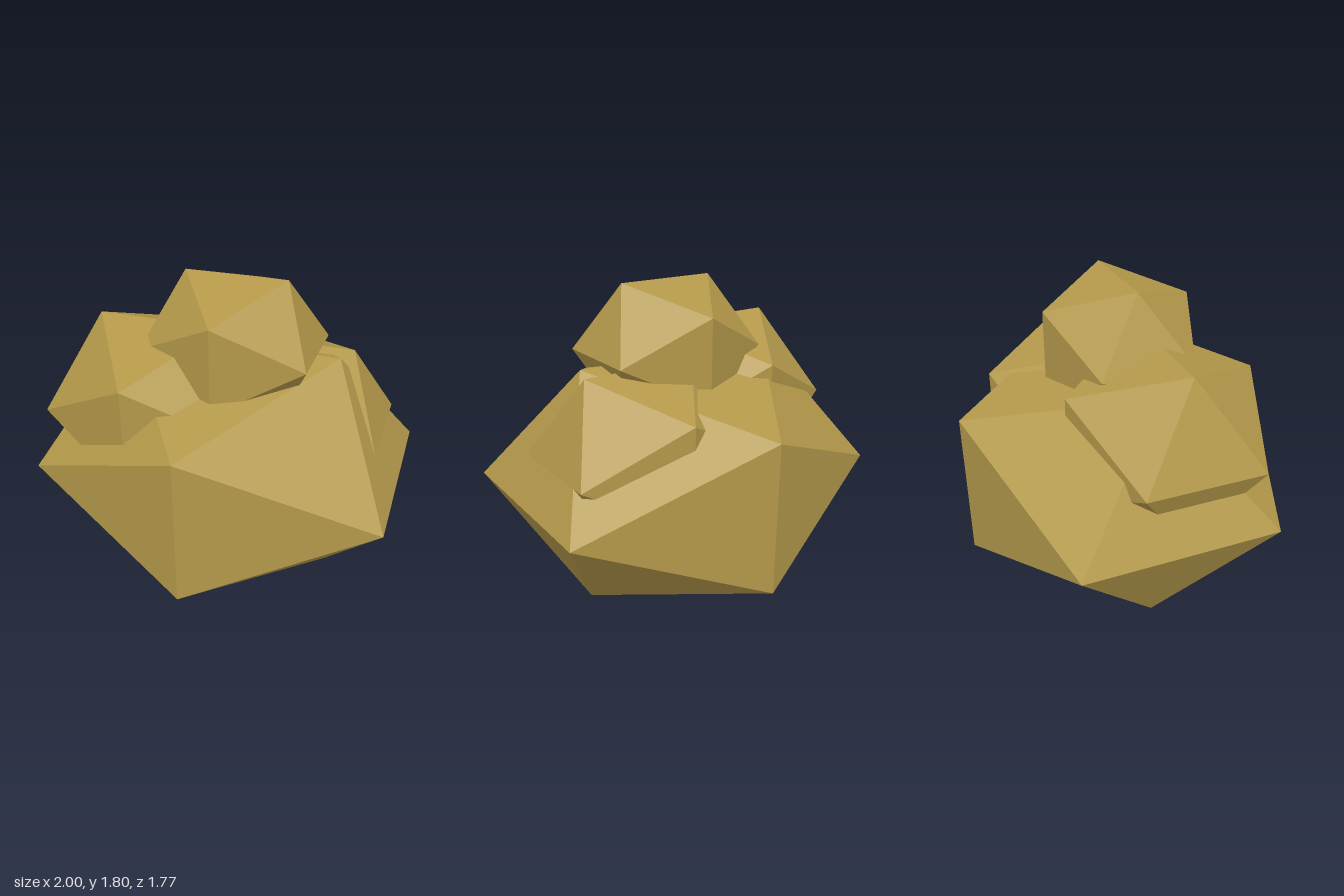
import * as THREE from 'three';

// Pile of faceted boulders: each is a stretched icosahedron
const boulders = [
  { name: 'baseBoulder', at: [0, 0.693, 0], radii: [1.175, 0.814, 1.039] },
  { name: 'topBoulder', at: [0.043, 1.415, 0.044], radii: [0.541, 0.452, 0.497] },
  { name: 'rightBoulder', at: [-0.365, 1.035, 0.135], radii: [0.676, 0.582, 0.629] },
  { name: 'leftBoulder', at: [0.335, 0.92, -0.14], radii: [0.635, 0.541, 0.582] },
];

export function createModel() {
  const model = new THREE.Group();
  model.name = 'boulderPile';

  const ochre = new THREE.MeshStandardMaterial({ color: 0xb3984a, flatShading: true });
  ochre.name = 'ochre stone';

  for (const { name, at, radii } of boulders) {
    const geometry = new THREE.IcosahedronGeometry(1, 0);
    geometry.scale(...radii);
    const mesh = new THREE.Mesh(geometry, ochre);
    mesh.name = name;
    mesh.position.set(...at);
    model.add(mesh);
  }
  return model;
}
